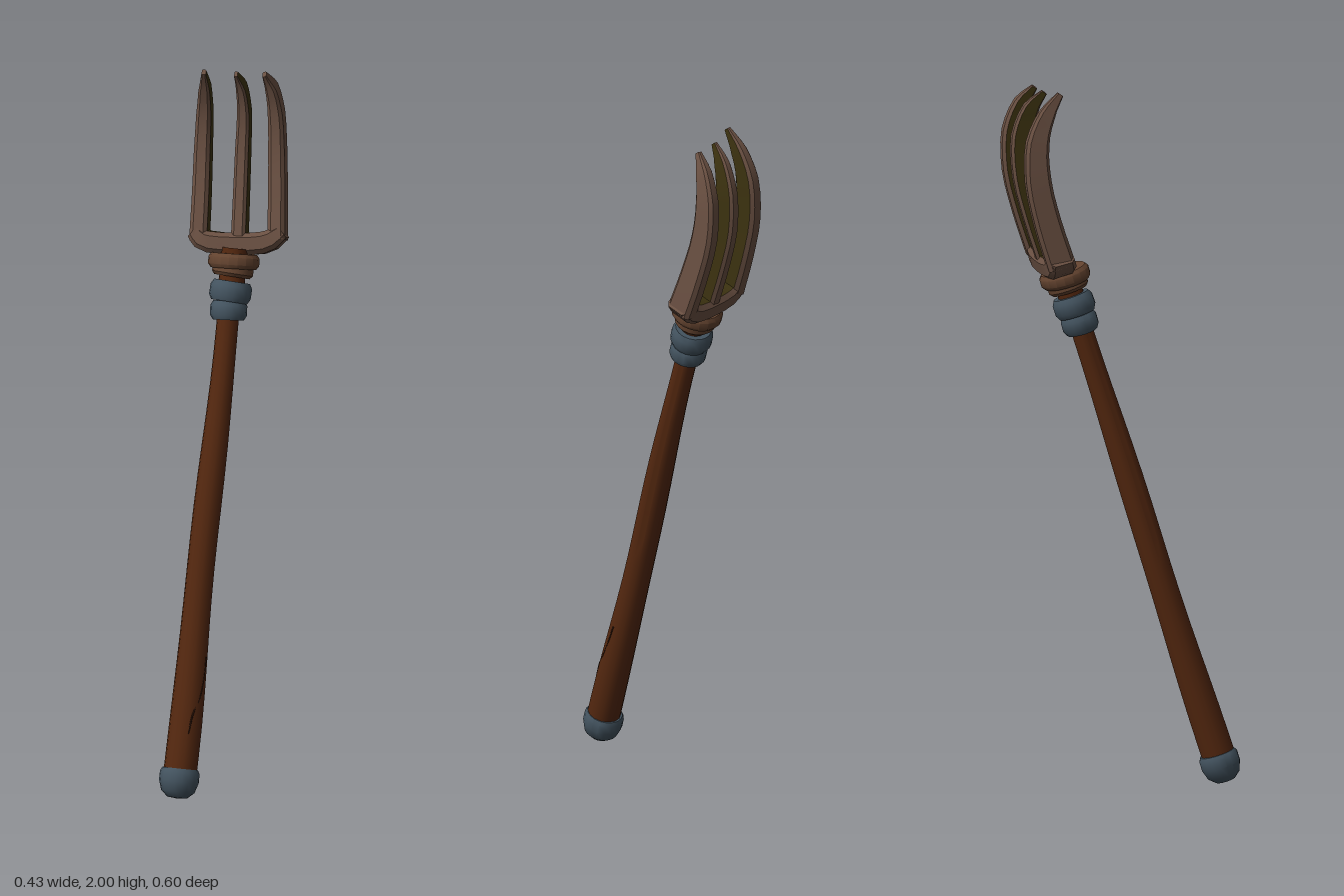
import * as THREE from 'three';
import { toCreasedNormals } from 'three/addons/utils/BufferGeometryUtils.js';

const mat = (name, color, double = false) => {
  const m = new THREE.MeshStandardMaterial({ color });
  m.name = name;
  if (double) m.side = THREE.DoubleSide;
  return m;
};
const V = (a) => new THREE.Vector3(...a);

// Sweeps a chamfered rectangle along stations [x, y, z, halfWidth, halfDepth].
// 'side' is the width axis; faces listed in 'dark' use the second material.
function sweepBar(stations, side, dark, steps) {
  const curve = new THREE.CatmullRomCurve3(stations.map((s) => V(s.slice(0, 3))));
  const rings = [], centres = [];
  for (let j = 0; j <= steps; j++) {
    const t = j / steps, f = t * (stations.length - 1);
    const i = Math.min(Math.floor(f), stations.length - 2);
    const a = THREE.MathUtils.lerp(stations[i][3], stations[i + 1][3], f - i);
    const b = THREE.MathUtils.lerp(stations[i][4], stations[i + 1][4], f - i);
    const c = Math.min(a, b) * 0.42;
    const p = curve.getPoint(t), T = curve.getTangent(t);
    const N = T.clone().cross(side).normalize();
    const S = N.clone().cross(T).normalize();
    const outline = [[a, c - b], [a, b - c], [a - c, b], [c - a, b],
      [-a, b - c], [-a, c - b], [c - a, -b], [a - c, -b]];
    rings.push(outline.map(([u, v]) => p.clone().addScaledVector(S, u).addScaledVector(N, v)));
    centres.push(p);
  }
  const faces = [[], []];
  const tri = (g, ...pts) => pts.forEach((p) => faces[g].push(p));
  for (let k = 0; k < 8; k++) {
    const n = (k + 1) % 8, g = dark.includes(k) ? 1 : 0;
    for (let j = 0; j < steps; j++) {
      const A = rings[j], B = rings[j + 1];
      tri(g, A[k], A[n], B[n]);
      tri(g, A[k], B[n], B[k]);
    }
    tri(0, centres[0], rings[0][n], rings[0][k]);
    tri(0, centres[steps], rings[steps][k], rings[steps][n]);
  }
  const geo = new THREE.BufferGeometry().setFromPoints([...faces[0], ...faces[1]]);
  geo.addGroup(0, faces[0].length, 0);
  geo.addGroup(faces[0].length, faces[1].length, 1);
  geo.computeVertexNormals();
  return toCreasedNormals(geo, 0.5);
}

export function createModel() {
  const wood = mat('shaft wood', 0x53270f);
  const crackMat = mat('dark crack', 0x2a1206);
  const metal = mat('blue grey metal', 0x43535f);
  const prong = mat('brown prong', 0x6a5042);
  const inner = mat('dark olive inner face', 0x3c3210);
  const ringMat = mat('reddish ring', 0x63432f);

  const model = new THREE.Group();
  const add = (parent, name, geo, material) => {
    const m = new THREE.Mesh(geo, material);
    m.name = name;
    parent.add(m);
    return m;
  };

  // Handle: built upright, then leaned along its axis
  const handle = new THREE.Group();
  handle.name = 'handle';
  const foot = V([-0.16, 0.04, 0.25]);
  const axis = V([0.035, 1.35, -0.11]).sub(foot).normalize();
  handle.position.copy(foot);
  handle.quaternion.setFromUnitVectors(new THREE.Vector3(0, 1, 0), axis);
  model.add(handle);

  // Slightly uneven tapering shaft
  const shaftRadius = (y) => 0.047 - 0.0115 * y + 0.0015 * Math.sin(y * 9);
  const shaft = new THREE.CylinderGeometry(1, 1, 1.4, 14, 16);
  shaft.translate(0, 0.7, 0);
  const pos = shaft.attributes.position;
  for (let i = 0; i < pos.count; i++) {
    const y = pos.getY(i), r = shaftRadius(y);
    pos.setX(i, pos.getX(i) * r + 0.002 * Math.sin(y * 7));
    pos.setZ(i, pos.getZ(i) * r + 0.002 * Math.cos(y * 6));
  }
  shaft.computeVertexNormals();
  add(handle, 'shaft', toCreasedNormals(shaft, 0.8), wood);

  // Crack winding round the lower shaft
  const crackPts = [[0.15, 0.1], [0.21, 0.3], [0.26, 0.75], [0.31, 0.95], [0.37, 1.05]].map(([y, ang]) => {
    const r = shaftRadius(y) - 0.001;
    return V([Math.sin(ang) * r, y, Math.cos(ang) * r]);
  });
  add(handle, 'crack', new THREE.TubeGeometry(new THREE.CatmullRomCurve3(crackPts), 16, 0.0028, 5), crackMat);

  // Turned pieces: foot cap, wrapped collar, neck and ring
  const turned = (name, profile, material, tilt = 0) => {
    const mid = (profile[0][1] + profile[profile.length - 1][1]) / 2;
    const geo = new THREE.LatheGeometry(profile.map(([r, y]) => new THREE.Vector2(r, y - mid)), 18);
    const m = add(handle, name, toCreasedNormals(geo, 0.7), material);
    m.position.y = mid;
    m.rotation.z = tilt;
    return m;
  };
  turned('footCap', [[0, -0.034], [0.028, -0.031], [0.047, -0.014], [0.056, 0.014],
    [0.056, 0.04], [0.05, 0.051], [0.04, 0.051]], metal);
  const band = (y, r, h) => [[0.028, y - h], [r - 0.008, y - h], [r, y - h * 0.5],
    [r, y + h * 0.5], [r - 0.008, y + h], [0.028, y + h]];
  turned('lowerCollarBand', band(1.345, 0.052, 0.027), metal, 0.06);
  turned('upperCollarBand', band(1.398, 0.059, 0.029), metal, -0.05);
  turned('neck', [[0.038, 1.4], [0.036, 1.46], [0.04, 1.52]], wood);
  turned('lowerRing', band(1.458, 0.058, 0.018), ringMat, -0.05);
  turned('upperRing', band(1.484, 0.072, 0.021), ringMat, 0.04);

  // Fork head
  const head = new THREE.Group();
  head.name = 'forkHead';
  model.add(head);
  const across = V([0.955, 0, 0.295]);
  const forward = V([-0.3, 0.28, 0.91]).normalize();

  // Crossbar with a dark upper face
  add(head, 'crossbar', sweepBar([
    [-0.052, 1.532, -0.208, 0.034, 0.022], [-0.025, 1.505, -0.195, 0.042, 0.03],
    [0.065, 1.497, -0.172, 0.044, 0.031], [0.15, 1.506, -0.152, 0.044, 0.031],
    [0.192, 1.536, -0.148, 0.034, 0.022],
  ], forward, [6], 10), [prong, inner]);

  // Curved tines; the sides that face a neighbour are dark
  const tines = [
    ['rightTine', [0], [[-0.038, 1.505, -0.2], [-0.026, 1.63, -0.238], [-0.018, 1.75, -0.264],
      [-0.014, 1.86, -0.264], [-0.018, 1.94, -0.236], [-0.026, 1.997, -0.197]]],
    ['middleTine', [0, 4], [[0.072, 1.505, -0.172], [0.083, 1.63, -0.213], [0.092, 1.75, -0.244],
      [0.096, 1.86, -0.25], [0.085, 1.94, -0.23], [0.065, 1.987, -0.198]]],
    ['leftTine', [4], [[0.176, 1.51, -0.148], [0.183, 1.63, -0.19], [0.187, 1.75, -0.223],
      [0.184, 1.86, -0.23], [0.168, 1.94, -0.212], [0.144, 1.987, -0.185]]],
  ];
  const widths = [0.025, 0.024, 0.023, 0.021, 0.016, 0.006];
  const depths = [0.04, 0.038, 0.036, 0.032, 0.023, 0.009];
  tines.forEach(([name, dark, path]) => {
    const slim = name === 'middleTine' ? 0.82 : 1;
    const stations = path.map((p, i) => [...p, widths[i] * slim, depths[i]]);
    add(head, name, sweepBar(stations, across, dark, 15), [prong, inner]);
  });

  return model;
}
